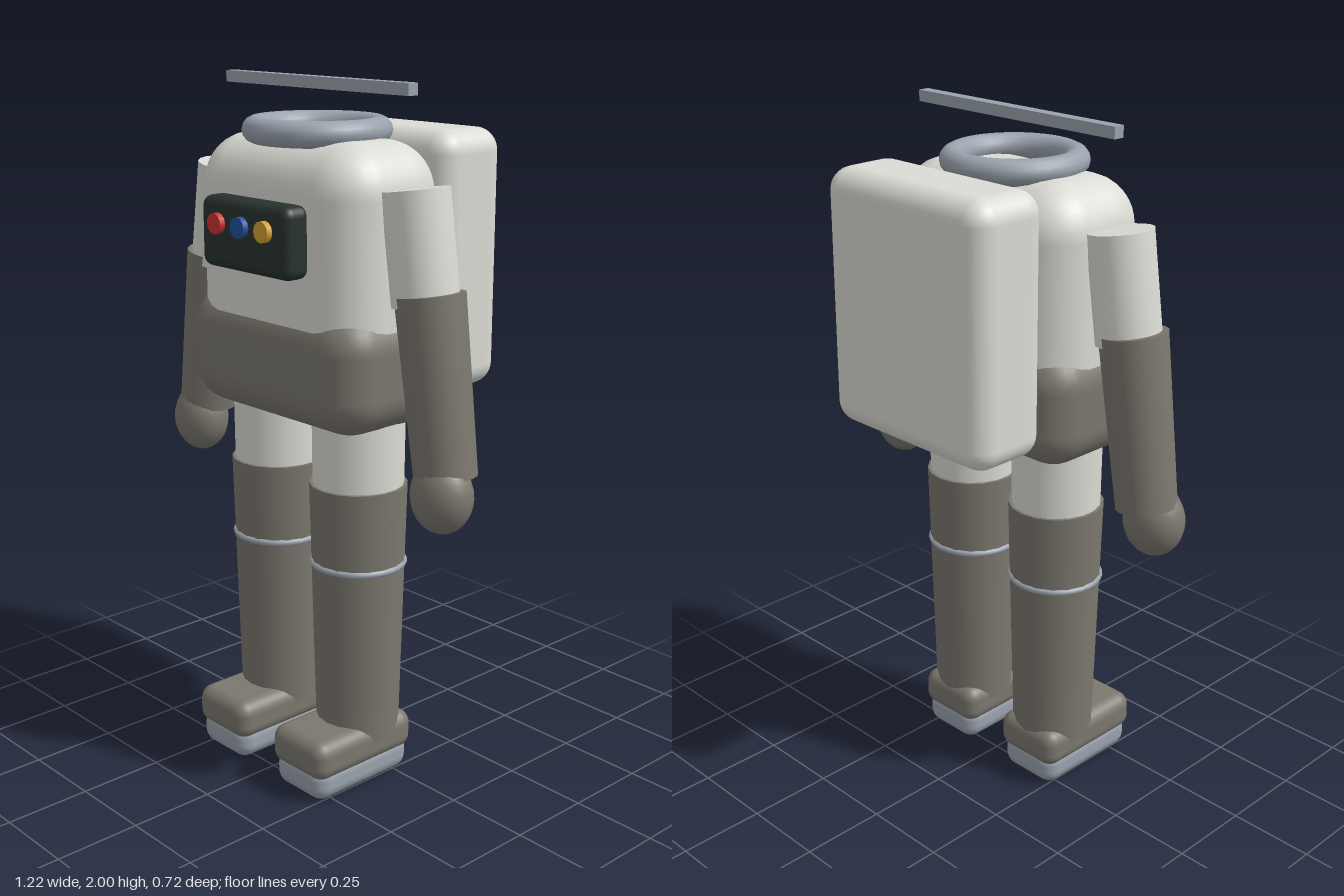
import * as THREE from 'three';
import { RoundedBoxGeometry } from 'three/addons/geometries/RoundedBoxGeometry.js';

const material = (name, color) => {
  const m = new THREE.MeshStandardMaterial({ color });
  m.name = name;
  return m;
};

export function createModel() {
  const white = material('suitWhite', 0xdcdcd6);
  const grey = material('suitGrey', 0x7c786f);
  const metal = material('metal', 0x9aa3ad);
  const dark = material('panelDark', 0x28322f);
  const red = material('buttonRed', 0xc83232);
  const blue = material('buttonBlue', 0x2050a0);
  const yellow = material('buttonYellow', 0xd0a030);

  const model = new THREE.Group();
  model.name = 'spaceSuit';
  const Z = 0.07; // depth of the body's centre line

  const add = (name, geometry, mat, x, y, z, parent = model) => {
    const mesh = new THREE.Mesh(geometry, mat);
    mesh.name = name;
    mesh.position.set(x, y, z);
    parent.add(mesh);
    return mesh;
  };
  const box = (w, h, d, r) => new RoundedBoxGeometry(w, h, d, 4, r);

  // Limb section running from point a (radius ra) down to point b (radius rb)
  const limb = (name, mat, a, b, ra, rb, parent) => {
    const from = new THREE.Vector3(...a), to = new THREE.Vector3(...b);
    const axis = from.clone().sub(to);
    const mid = from.add(to).multiplyScalar(0.5);
    const mesh = add(name, new THREE.CylinderGeometry(ra, rb, axis.length(), 18), mat, mid.x, mid.y, mid.z, parent);
    mesh.quaternion.setFromUnitVectors(new THREE.Vector3(0, 1, 0), axis.normalize());
  };

  // Torso, hips and life-support pack
  add('torso', box(0.68, 0.64, 0.39, 0.14), white, 0, 1.525, Z);
  add('hips', box(0.71, 0.34, 0.415, 0.11), grey, 0, 1.24, Z + 0.003);
  add('backpack', box(0.61, 0.73, 0.248, 0.065), white, 0, 1.495, -0.239);

  // Neck ring and the bar above it
  add('neckRing', new THREE.TorusGeometry(0.17, 0.036, 14, 40), metal, 0, 1.86, Z - 0.003).rotation.x = Math.PI / 2;
  add('topBar', new THREE.BoxGeometry(0.735, 0.032, 0.034), metal, 0, 1.984, Z);

  // Chest panel with three buttons
  add('chestPanel', box(0.365, 0.195, 0.09, 0.03), dark, 0, 1.592, 0.292);
  [[red, -0.098], [blue, 0], [yellow, 0.098]].forEach(([mat, x]) => {
    add('chestButton', new THREE.CylinderGeometry(0.029, 0.029, 0.04, 12), mat, x, 1.62, 0.334).rotation.x = Math.PI / 2;
  });

  for (const side of [1, -1]) {
    const label = side > 0 ? 'left' : 'right';

    // Arm, leaning outwards
    const arm = new THREE.Group();
    arm.name = label + 'Arm';
    model.add(arm);
    limb('upperArm', white, [side * 0.382, 1.735, Z], [side * 0.425, 1.44, Z], 0.091, 0.091, arm);
    limb('forearm', grey, [side * 0.439, 1.47, Z], [side * 0.508, 0.99, Z], 0.095, 0.086, arm);
    const hand = add('hand', new THREE.SphereGeometry(1, 20, 14), grey, side * 0.517, 0.945, 0.093, arm);
    hand.scale.set(0.091, 0.104, 0.079);

    // Leg
    const leg = new THREE.Group();
    leg.name = label + 'Leg';
    leg.position.set(side * 0.172, 0, Z);
    model.add(leg);
    limb('thigh', white, [0, 1.2, 0], [0, 0.86, 0], 0.132, 0.129, leg);
    limb('lowerLeg', grey, [0, 0.896, 0], [0, 0.138, 0], 0.139, 0.12, leg);
    add('kneeRing', new THREE.TorusGeometry(0.13, 0.01, 8, 28), metal, 0, 0.662, 0, leg).rotation.x = Math.PI / 2;

    // Boot and sole
    add('boot', box(0.222, 0.118, 0.374, 0.042), grey, 0, 0.127, 0.061, leg);
    add('sole', box(0.205, 0.11, 0.36, 0.045), metal, 0, 0.055, 0.061, leg);
  }
  return model;
}
